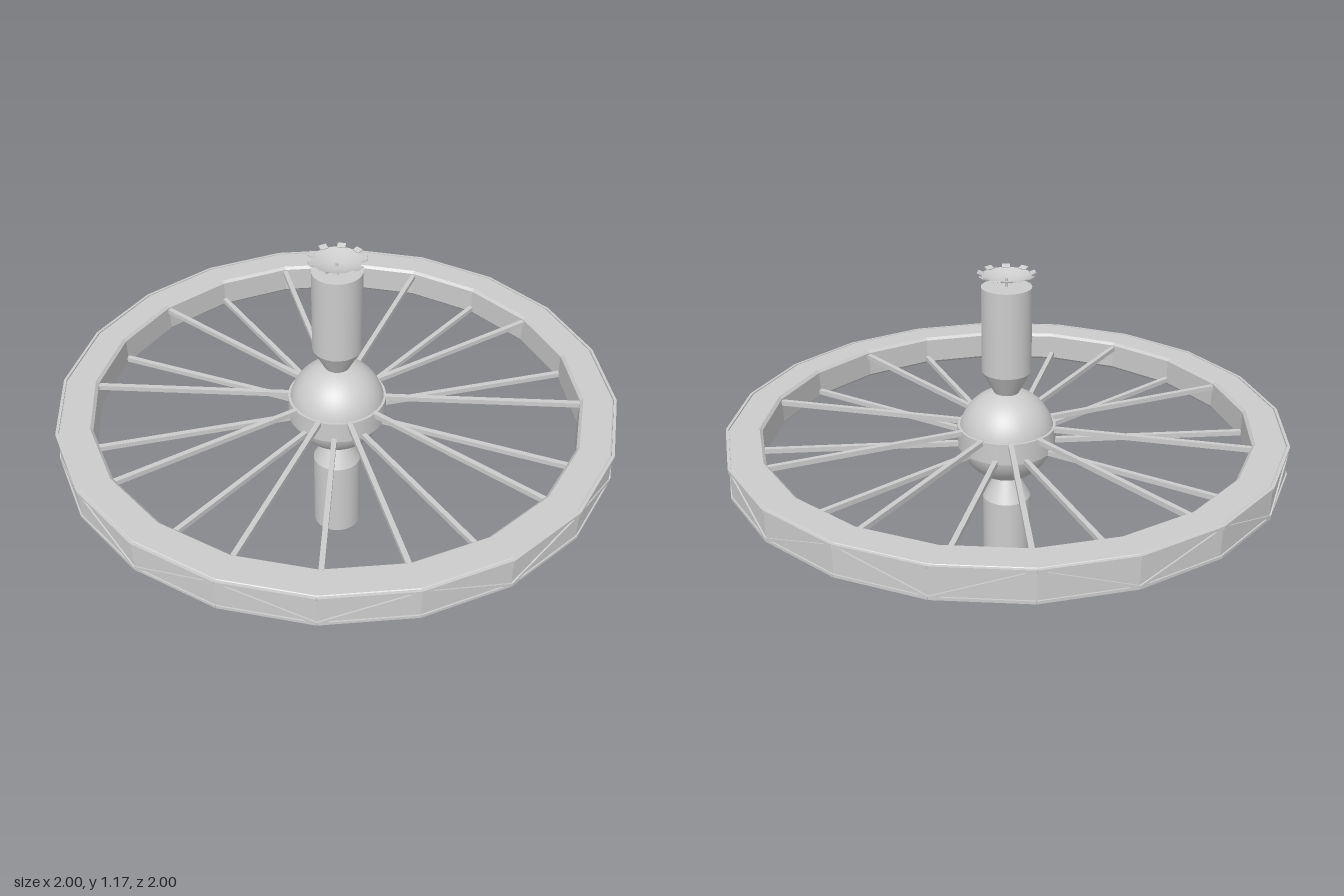
import * as THREE from 'three';

const MID = 0.5625; // height of the wheel plane
const SIDES = 20;
const grey = new THREE.MeshStandardMaterial({ color: 0xcccccc, side: THREE.DoubleSide });
const flat = new THREE.MeshStandardMaterial({ color: 0xcccccc, side: THREE.DoubleSide, flatShading: true });

function add(parent, name, geometry, material = grey) {
  const mesh = new THREE.Mesh(geometry, material);
  mesh.name = name;
  parent.add(mesh);
  return mesh;
}

const lathe = (points, segments) =>
  new THREE.LatheGeometry(points.map(([r, y]) => new THREE.Vector2(r, y)), segments);

// Point on the wheel at corner i, counted from the front
function corner(i, radius, y) {
  const a = (i * Math.PI * 2) / SIDES;
  return new THREE.Vector3(Math.sin(a) * radius, y, Math.cos(a) * radius);
}

// Square bar between two points
function bar(parent, name, from, to, width) {
  const mesh = add(parent, name, new THREE.BoxGeometry(width, width, from.distanceTo(to)), flat);
  mesh.position.copy(from).add(to).multiplyScalar(0.5);
  mesh.lookAt(to);
  return mesh;
}

export function createModel() {
  const model = new THREE.Group();
  model.name = 'spokedWheelStation';

  // Rim: bevelled box section swept round twenty sides
  const half = 0.057, bevel = 0.01, inner = 0.87, outer = 0.993;
  add(model, 'rim', lathe([
    [outer, MID - half + bevel], [outer, MID + half - bevel],
    [outer - bevel, MID + half], [inner + bevel, MID + half],
    [inner, MID + half - bevel], [inner, MID - half + bevel],
    [inner + bevel, MID - half], [outer - bevel, MID - half],
    [outer, MID - half + bevel],
  ], SIDES), flat);

  // Truss on the outside of the rim, and spokes alternating high and low
  const truss = new THREE.Group();
  truss.name = 'rimTruss';
  const spokes = new THREE.Group();
  spokes.name = 'spokes';
  model.add(truss, spokes);
  for (let i = 0; i < SIDES; i++) {
    const sign = i % 2 === 0 ? 1 : -1;
    bar(truss, 'diagonal', corner(i, 0.993, MID + sign * 0.05), corner(i + 1, 0.993, MID - sign * 0.05), 0.01);
    for (const s of [1, -1]) {
      bar(truss, 'rail', corner(i, 0.993, MID + s * 0.052), corner(i + 1, 0.993, MID + s * 0.052), 0.01);
    }
    const y = MID + sign * 0.033;
    bar(spokes, 'spoke', corner(i, 0.14, y), corner(i, 0.88, y), 0.018);
  }

  // Hub ball with a band where the spokes meet it
  add(model, 'hub', new THREE.SphereGeometry(0.173, 48, 32)).position.y = MID;
  add(model, 'hubBand', new THREE.CylinderGeometry(0.177, 0.177, 0.08, 48)).position.y = MID;

  // Lower and upper modules, each a drum tapering into the hub
  function module(name, drumEnd, shoulder, neck) {
    const group = new THREE.Group();
    group.name = name;
    model.add(group);
    const dir = Math.sign(drumEnd - shoulder);
    const drum = add(group, 'drum', new THREE.CylinderGeometry(0.088, 0.088, Math.abs(drumEnd - shoulder), 40));
    drum.position.y = (drumEnd + shoulder) / 2;
    const radii = dir > 0 ? [0.088, 0.04] : [0.04, 0.088];
    const taper = add(group, 'taper', new THREE.CylinderGeometry(...radii, Math.abs(shoulder - neck), 40));
    taper.position.y = (shoulder + neck) / 2;
  }
  module('lowerModule', 0, 0.31, 0.4);
  module('upperModule', 1.12, 0.81, 0.72);

  // Shallow dish on a short stem, with nine tabs round its edge
  const dish = new THREE.Group();
  dish.name = 'dish';
  dish.position.y = 1.12;
  model.add(dish);
  add(dish, 'stem', new THREE.CylinderGeometry(0.005, 0.005, 0.03, 12)).position.y = 0.015;
  add(dish, 'bowl', lathe([[0, 0.02], [0.03, 0.023], [0.06, 0.031], [0.086, 0.042]], 36));
  for (let i = 0; i < 9; i++) {
    const a = (i * Math.PI * 2) / 9;
    const tab = add(dish, 'tab', new THREE.BoxGeometry(0.028, 0.005, 0.02), flat);
    tab.position.set(Math.sin(a) * 0.091, 0.044, Math.cos(a) * 0.091);
    tab.rotation.set(-0.35, a, 0, 'YXZ');
  }
  return model;
}
